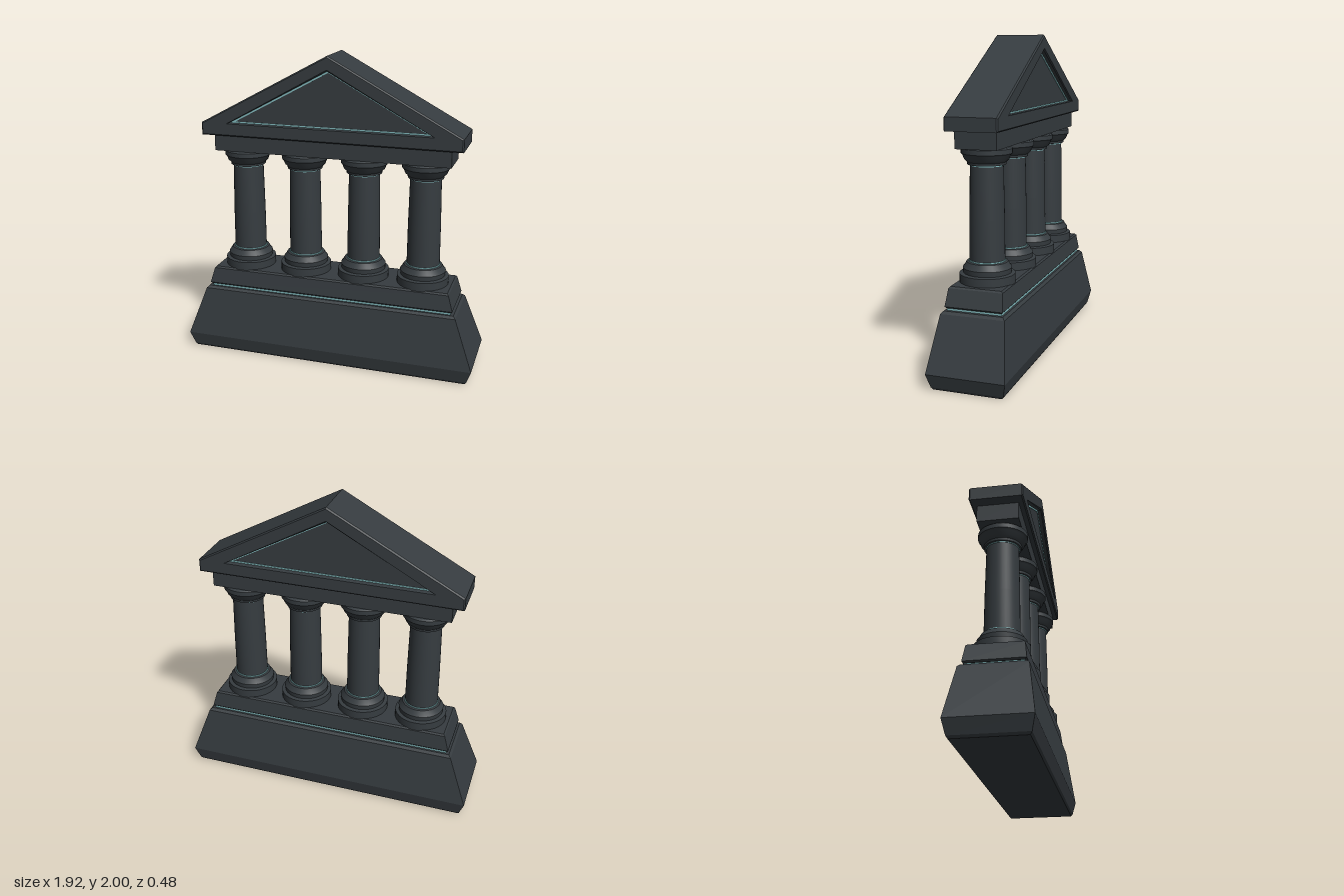
import * as THREE from 'three';
import { toCreasedNormals } from 'three/addons/utils/BufferGeometryUtils.js';

const stone = new THREE.MeshStandardMaterial({ name: 'dark stone', color: 0x363c40 });
const glow = new THREE.MeshStandardMaterial({ name: 'pale teal seam', color: 0x84bcbf });

function add(parent, name, geometry, material = stone) {
  const mesh = new THREE.Mesh(geometry, material);
  mesh.name = name;
  parent.add(mesh);
  return mesh;
}

// Rectangular block lofted through levels of [y, half width, half depth]
function block(levels) {
  const pos = [], index = [];
  for (const [y, w, d] of levels) pos.push(-w, y, d, w, y, d, w, y, -d, -w, y, -d);
  for (let l = 0; l < levels.length - 1; l++) {
    for (let i = 0; i < 4; i++) {
      const a = l * 4 + i, b = l * 4 + (i + 1) % 4;
      index.push(a, b, b + 4, a, b + 4, a + 4);
    }
  }
  const t = (levels.length - 1) * 4;
  index.push(0, 2, 1, 0, 3, 2, t, t + 1, t + 2, t, t + 2, t + 3);
  const g = new THREE.BufferGeometry();
  g.setAttribute('position', new THREE.Float32BufferAttribute(pos, 3));
  g.setIndex(index);
  const flat = g.toNonIndexed();
  flat.computeVertexNormals();
  return flat;
}

const lathe = (points) => toCreasedNormals(
  new THREE.LatheGeometry(points.map(([r, y]) => new THREE.Vector2(r, y)), 32), 0.5);

const triangle = (w, bottom, top) => [
  new THREE.Vector2(-w, bottom), new THREE.Vector2(w, bottom), new THREE.Vector2(0, top)];

function extrude(shape, depth, bevel = 0) {
  const g = new THREE.ExtrudeGeometry(shape, {
    depth: depth - 2 * bevel, bevelEnabled: bevel > 0, bevelSize: bevel,
    bevelThickness: bevel, bevelOffset: -bevel, bevelSegments: 1,
  });
  return g.translate(0, 0, bevel - depth / 2);
}

export function createModel() {
  const model = new THREE.Group();
  model.name = 'temple';

  // Stepped foundation with a glowing seam between the tiers
  add(model, 'foundation', block([
    [0, 0.92, 0.21], [0.015, 0.93, 0.22], [0.1, 0.96, 0.24],
    [0.425, 0.84, 0.195], [0.44, 0.825, 0.18]]));
  add(model, 'foundationSeam', block([[0.435, 0.805, 0.167], [0.465, 0.805, 0.167]]), glow);
  add(model, 'stylobate', block([
    [0.453, 0.808, 0.167], [0.463, 0.817, 0.177], [0.565, 0.787, 0.165], [0.575, 0.778, 0.156]]));

  // Four columns: stepped base, tapering shaft, flared capital
  const base = lathe([[0, 0.57], [0.165, 0.57], [0.165, 0.625], [0.142, 0.63], [0.145, 0.66],
    [0.135, 0.672], [0.122, 0.695], [0.1, 0.7]]);
  const shaft = lathe([[0.105, 0.69], [0.103, 0.95], [0.097, 1.28]]);
  const capital = lathe([[0.095, 1.262], [0.112, 1.265], [0.114, 1.28], [0.13, 1.295], [0.14, 1.32],
    [0.149, 1.33], [0.149, 1.358], [0.14, 1.365], [0, 1.375]]);
  const ring = (r, y) => new THREE.CylinderGeometry(r, r, 0.007, 32).translate(0, y, 0);
  const baseRing = ring(0.109, 0.702), capitalRing = ring(0.101, 1.262);
  for (const x of [-0.59, -0.197, 0.197, 0.59]) {
    const column = new THREE.Group();
    column.name = 'column';
    column.position.x = x;
    add(column, 'columnBase', base);
    add(column, 'columnShaft', shaft);
    add(column, 'columnCapital', capital);
    add(column, 'baseSeam', baseRing, glow);
    add(column, 'capitalSeam', capitalRing, glow);
    model.add(column);
  }

  // Beam across the columns
  add(model, 'entablature', block([[1.365, 0.765, 0.125], [1.475, 0.765, 0.125]]));

  // Pediment frame, open in the middle
  const gable = new THREE.Shape([[-0.838, 1.47], [0.838, 1.47], [0.838, 1.55], [0, 2], [-0.838, 1.55]]
    .map(([x, y]) => new THREE.Vector2(x, y)));
  gable.holes.push(new THREE.Path(triangle(0.655, 1.553, 1.908)));
  add(model, 'pedimentFrame', extrude(gable, 0.32, 0.008));

  // Recessed panel with a thin glowing border on both faces
  add(model, 'pedimentPanel', extrude(new THREE.Shape(triangle(0.68, 1.54, 1.92)), 0.25));
  const border = new THREE.Shape(triangle(0.67, 1.545, 1.914));
  border.holes.push(new THREE.Path(triangle(0.616, 1.562, 1.896)));
  for (const z of [-0.126, 0.126]) {
    add(model, 'panelSeam', extrude(border, 0.006), glow).position.z = z;
  }
  return model;
}
